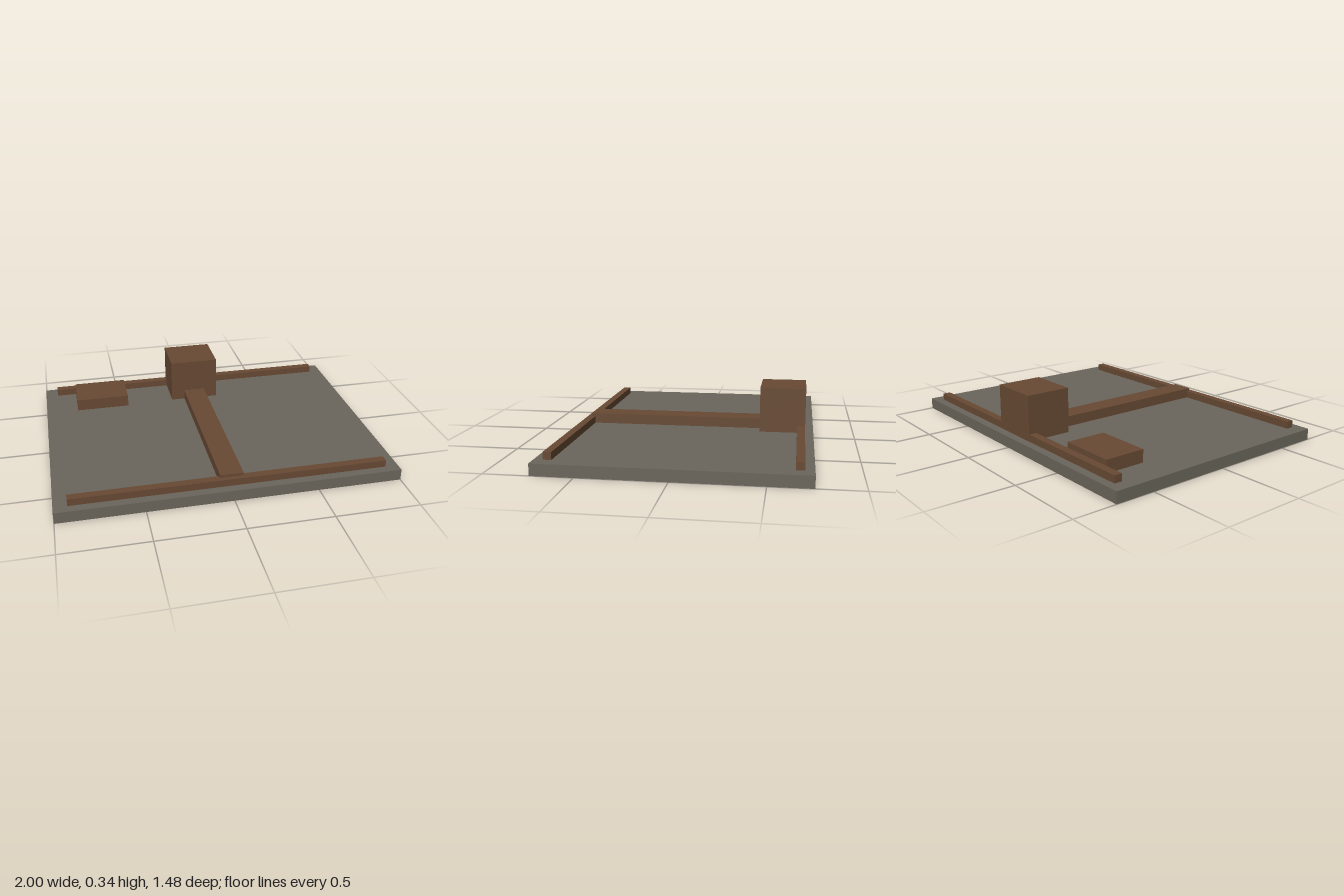
import * as THREE from 'three';

const stone = new THREE.MeshStandardMaterial({ color: 0x6b665c, flatShading: true });
const wood = new THREE.MeshStandardMaterial({ color: 0x684a34, flatShading: true });

// Box given by its extents on each axis
function block(name, material, [x0, x1], [y0, y1], [z0, z1]) {
  const mesh = new THREE.Mesh(new THREE.BoxGeometry(x1 - x0, y1 - y0, z1 - z0), material);
  mesh.position.set((x0 + x1) / 2, (y0 + y1) / 2, (z0 + z1) / 2);
  mesh.name = name;
  return mesh;
}

export function createModel() {
  const group = new THREE.Group();
  group.name = 'platform';
  const top = 0.068; // upper face of the slab

  group.add(block('baseSlab', stone, [-1, 1], [0, top], [-0.741, 0.741]));

  // Low rails along the front and back edges
  for (const [name, side] of [['frontRail', 1], ['backRail', -1]]) {
    const rail = block(name, wood, [-0.921, 0.921], [top, 0.111], [-0.0235, 0.0235]);
    rail.position.z = side * 0.666;
    group.add(rail);
  }

  // Central beam running from the front rail into the tall block
  group.add(block('centreBeam', wood, [-0.068, 0.068], [top, 0.13], [-0.664, 0.664]));
  group.add(block('tallBlock', wood, [-0.154, 0.154], [top, 0.34], [-0.691, -0.416]));

  // Flat step against the back rail
  group.add(block('lowStep', wood, [-0.797, -0.459], [top, 0.143], [-0.642, -0.395]));

  return group;
}
